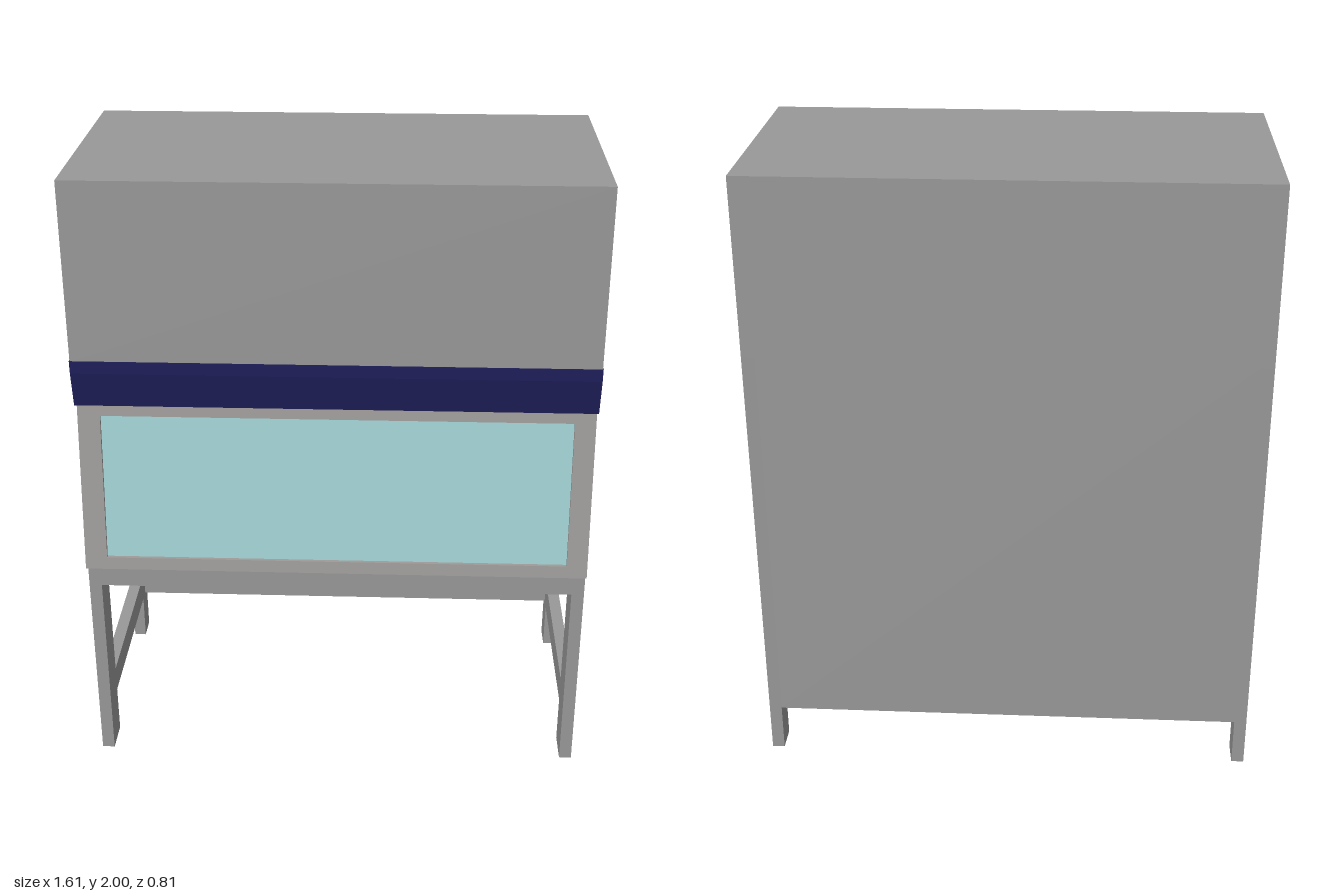
import * as THREE from 'three';

export function createModel() {
  const model = new THREE.Group();
  model.name = 'safetyCabinet';

  const material = (name, color) => {
    const m = new THREE.MeshStandardMaterial({ color });
    m.name = name;
    return m;
  };
  const steel = material('grey steel', 0x999999);
  const sashGrey = material('warm grey sash', 0x9f9b9b);
  const glass = material('pale teal glass', 0xa2d2d4);
  const navy = material('navy trim', 0x1f1f5c);
  const dark = material('dark fitting', 0x5c5c5c);

  const add = (name, geometry, mat) => {
    const mesh = new THREE.Mesh(geometry, mat);
    mesh.name = name;
    model.add(mesh);
    return mesh;
  };
  // Box given by its lower and upper corners
  const block = (name, [x0, y0, z0], [x1, y1, z1], mat) => {
    const g = new THREE.BoxGeometry(x1 - x0, y1 - y0, z1 - z0);
    g.translate((x0 + x1) / 2, (y0 + y1) / 2, (z0 + z1) / 2);
    return add(name, g, mat);
  };
  // Profile of (z, y) points extruded along x
  const toPoints = (pts) => pts.map(([z, y]) => new THREE.Vector2(-z, y));
  const extrudeX = (pts, x0, x1, holes = []) => {
    const shape = new THREE.Shape(toPoints(pts));
    for (const h of holes) shape.holes.push(new THREE.Path(toPoints(h)));
    const g = new THREE.ExtrudeGeometry(shape, { depth: x1 - x0, bevelEnabled: false });
    return g.rotateY(Math.PI / 2).translate(x0, 0, 0);
  };
  const rect = (a0, b0, a1, b1) => [[a0, b0], [a1, b0], [a1, b1], [a0, b1]];

  const L = -0.805, R = 0.79, T = 0.04, back = -0.405;

  // Upper housing
  block('housing', [L, 1.44, back], [R, 2, 0.395], steel);

  // Side frames: legs, rails and window surround in one sheet
  const sideProfile = [
    [back, 0], [back, 1.44], [0.345, 1.44], [0.345, 1.285], [0.405, 0.725], [0.375, 0.725],
    [0.375, 0], [0.265, 0], [0.265, 0.16], [-0.32, 0.16], [-0.32, 0],
  ];
  const holes = [rect(-0.32, 0.72, 0.265, 1.285), rect(-0.32, 0.245, 0.265, 0.645)];
  for (const [side, x] of [['right', L], ['left', R - T]]) {
    add(side + 'SideFrame', extrudeX(sideProfile, x, x + T, holes), steel);
    // Recessed side window
    const gx = side === 'left' ? R - 0.024 : L + 0.016;
    block(side + 'Window', [gx, 0.72, -0.32], [gx + 0.008, 1.285, 0.265], glass);
  }

  // Back panel and worktop
  block('backPanel', [L + T, 0.16, back], [R - T, 1.44, back + T], steel);
  block('worktop', [L + T, 0.645, back + T], [R - T, 0.725, 0.375], steel);

  // Sloping front sash: flat shapes leaned back by a shear
  const lean = (g) => {
    const p = g.attributes.position;
    for (let i = 0; i < p.count; i++) {
      p.setZ(i, p.getZ(i) + 0.405 - 0.06 * (p.getY(i) - 0.725) / 0.56);
    }
    g.computeVertexNormals();
    return g;
  };
  const path = (C, pts) => new C(pts.map(([x, y]) => new THREE.Vector2(x, y)));
  const sashShape = path(THREE.Shape, rect(L, 0.725, R, 1.285));
  sashShape.holes.push(path(THREE.Path, rect(-0.735, 0.765, 0.725, 1.24)));
  const sash = new THREE.ExtrudeGeometry(sashShape, { depth: 0.018, bevelEnabled: false });
  add('sashFrame', lean(sash.translate(0, 0, -0.017)), sashGrey);
  const pane = new THREE.BoxGeometry(1.46, 0.475, 0.008).translate(-0.005, 1.0025, -0.014);
  add('sashGlass', lean(pane), glass);

  // Trim band above the sash
  const band = [
    [0.396, 1.441], [0.336, 1.441], [0.325, 1.42], [0.322, 1.31], [0.328, 1.285],
    [0.373, 1.285], [0.394, 1.4],
  ];
  add('trimBand', extrudeX(band, L - 0.002, R + 0.002), navy);

  // Small tap on the left window
  const tap = new THREE.CylinderGeometry(0.006, 0.006, 0.038, 10).rotateZ(Math.PI / 2);
  add('tap', tap.translate(0.786, 0.885, 0), dark);

  return model;
}
